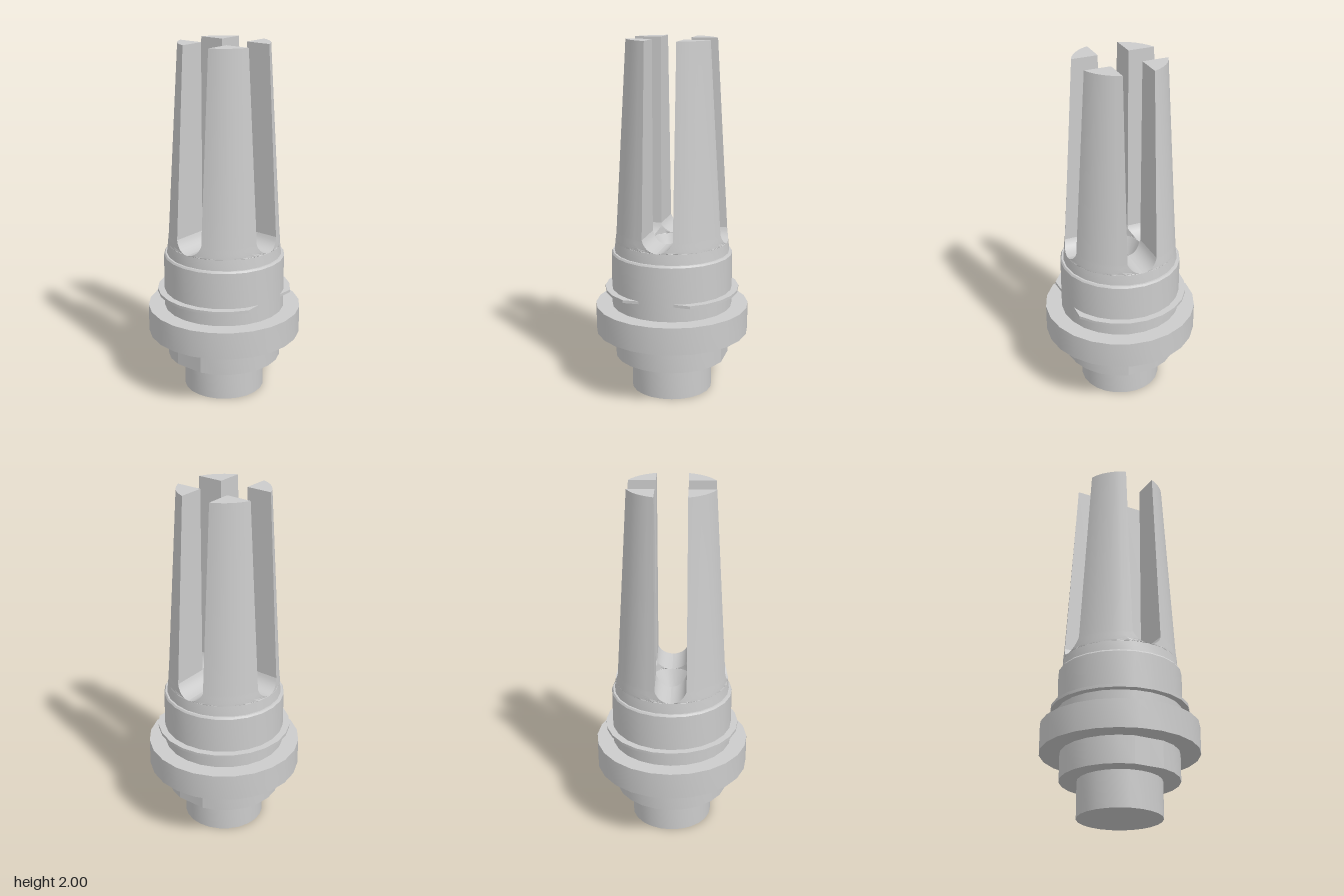
import * as THREE from 'three';
import { toCreasedNormals } from 'three/addons/utils/BufferGeometryUtils.js';

const CREASE = 0.35, SIDES = 24;
const FLOOR = 0.88, SLOT_R = 0.0907, SLOT_HALF = 0.087, ARC_END = 0.945, BORE = 0.118;
const material = new THREE.MeshStandardMaterial({ color: 0xcccccc });

// Outer radius of the tapering upper section
function outerRadius(y) {
  return y <= ARC_END
    ? THREE.MathUtils.mapLinear(y, 0.82, ARC_END, 0.325, 0.312)
    : THREE.MathUtils.mapLinear(y, ARC_END, 2, 0.312, 0.25);
}

function addMesh(parent, name, geometry) {
  const mesh = new THREE.Mesh(toCreasedNormals(geometry, CREASE), material);
  mesh.name = name;
  parent.add(mesh);
  return mesh;
}

// Stepped turned body with a countersunk, round-bottomed bore
function bodyGeometry() {
  const profile = [
    [0, 0], [0.23, 0], [0.23, 0.2], [0.325, 0.2], [0.325, 0.35],
    [0.435, 0.35], [0.435, 0.505], [0.342, 0.505], [0.342, 0.81], [0.335, 0.82],
    [0.325, 0.82], [outerRadius(FLOOR), FLOOR], [BORE, FLOOR], [0.076, 0.78], [0.076, 0.65],
  ];
  for (let i = 1; i <= 6; i++) {
    const a = (i / 6) * Math.PI / 2;
    profile.push([i === 6 ? 0 : 0.076 * Math.cos(a), 0.65 - 0.076 * Math.sin(a)]);
  }
  const geo = new THREE.LatheGeometry(profile.map(([r, y]) => new THREE.Vector2(r, y)), SIDES);
  // Two wrench flats on the lower collar, front and back
  const p = geo.attributes.position;
  for (let i = 0; i < p.count; i++) {
    const y = p.getY(i), r = Math.hypot(p.getX(i), p.getZ(i));
    if (y > 0.19 && y < 0.36 && r > 0.3 && r < 0.33) {
      p.setZ(i, THREE.MathUtils.clamp(p.getZ(i), -0.312, 0.312));
    }
  }
  return geo;
}

// One quarter prong: a sector whose sides follow the round-bottomed cross slots
function prongGeometry() {
  const OUT = 6, IN = 4, ring = OUT + IN + 2;
  const levels = [];
  const end = Math.asin(SLOT_HALF / SLOT_R);
  for (let i = 0; i <= 6; i++) {
    const a = (i / 6) * end;
    levels.push([FLOOR + SLOT_R * (1 - Math.cos(a)), SLOT_R * Math.sin(a)]);
  }
  levels.push([2, SLOT_HALF]);

  const pos = [], index = [];
  for (const [y, s] of levels) {
    const R = outerRadius(y);
    const r = Math.max(BORE, s * Math.SQRT2); // sharp inner corner once clear of the bore
    const a = Math.asin(s / R), b = Math.asin(Math.min(s / r, Math.SQRT1_2));
    for (let i = 0; i <= OUT; i++) {
      const t = THREE.MathUtils.lerp(a, Math.PI / 2 - a, i / OUT);
      pos.push(R * Math.cos(t), y, R * Math.sin(t));
    }
    for (let i = 0; i <= IN; i++) {
      const t = THREE.MathUtils.lerp(Math.PI / 2 - b, b, i / IN);
      pos.push(r * Math.cos(t), y, r * Math.sin(t));
    }
  }
  for (let l = 0; l < levels.length - 1; l++) {
    for (let i = 0; i < ring; i++) {
      const a = l * ring + i, b = l * ring + (i + 1) % ring;
      index.push(a, a + ring, b + ring, a, b + ring, b);
    }
  }
  // Flat tip, fanned from the inner corner
  const top = (levels.length - 1) * ring;
  for (let i = 0; i < OUT; i++) index.push(top + ring - 1, top + i + 1, top + i);

  const geo = new THREE.BufferGeometry();
  geo.setAttribute('position', new THREE.Float32BufferAttribute(pos, 3));
  geo.setIndex(index);
  return geo;
}

// Thin open ring with its gap facing +x
function clipGeometry() {
  const pts = [];
  const add = (r, deg) => pts.push(new THREE.Vector2(
    r * Math.cos(THREE.MathUtils.degToRad(deg)), r * Math.sin(THREE.MathUtils.degToRad(deg))));
  for (let d = 30; d <= 330; d += 15) add(0.38, d);
  for (let d = 345; d >= 15; d -= 15) add(0.337, d);
  const geo = new THREE.ExtrudeGeometry(new THREE.Shape(pts), { depth: 0.016, bevelEnabled: false });
  geo.rotateX(-Math.PI / 2);
  geo.translate(0, 0.59, 0);
  return geo;
}

export function createModel() {
  const model = new THREE.Group();
  model.name = 'slottedMuzzleDevice';
  addMesh(model, 'body', bodyGeometry());
  addMesh(model, 'retainingClip', clipGeometry());

  const prongs = new THREE.Group();
  prongs.name = 'prongs';
  for (let i = 0; i < 4; i++) {
    addMesh(prongs, 'prong', prongGeometry()).rotation.y = i * Math.PI / 2;
  }
  model.add(prongs);
  return model;
}
